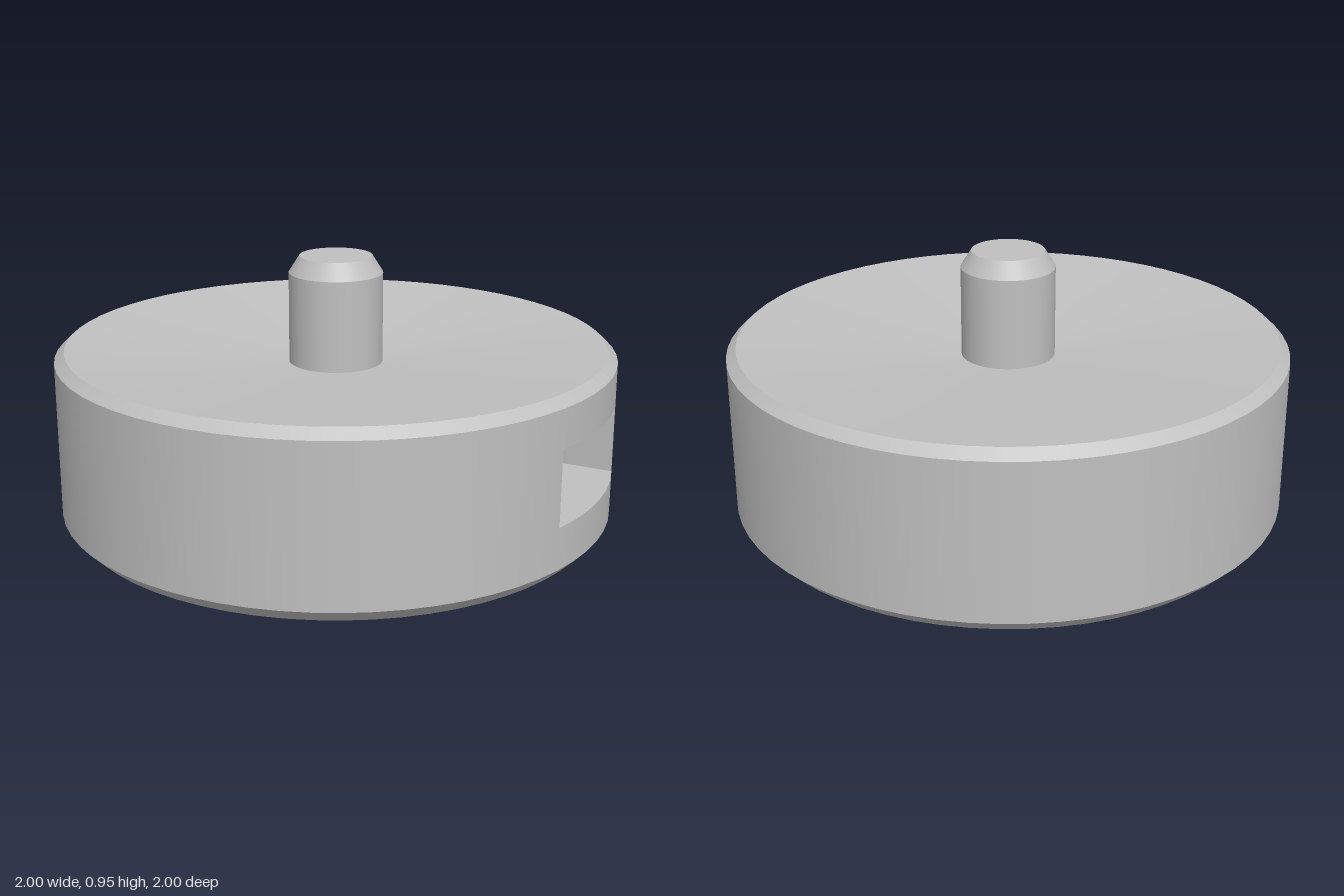
import * as THREE from 'three';
import { mergeGeometries } from 'three/addons/utils/BufferGeometryUtils.js';

const grey = new THREE.MeshStandardMaterial({ color: 0xc0c0c0 });
grey.name = 'plainGrey';

// The slot mouth spans a whole number of segments, so all bands share vertices
const SEGMENTS = 64, SLOT_SEGMENTS = 6;
const SLOT_ANGLE = Math.PI * SLOT_SEGMENTS / SEGMENTS;
const SLOT_HALF = Math.sin(SLOT_ANGLE);
const SLOT_LOW = 0.2, SLOT_HIGH = 0.468;
const HOLE_RADIUS = 0.17;

// Turned surface with a sharp edge at every profile point, starting beside the slot
function turned(profile, segments = SEGMENTS) {
  const bands = [];
  for (let i = 0; i < profile.length - 1; i++) {
    const pair = [profile[i], profile[i + 1]].map(([r, y]) => new THREE.Vector2(r, y));
    bands.push(new THREE.LatheGeometry(pair, segments,
      Math.PI / 2 + SLOT_ANGLE, Math.PI * 2 * segments / SEGMENTS));
  }
  return mergeGeometries(bands);
}

// Points on a circle, one segment apart, beginning at the slot's edge
function arcPoints(radius, segments) {
  return Array.from({ length: segments + 1 }, (_, i) => {
    const angle = -SLOT_ANGLE + i * Math.PI * 2 / SEGMENTS;
    return new THREE.Vector2(radius * Math.cos(angle), radius * Math.sin(angle));
  });
}

// Plan of the slot: parallel sides, hexagon point at the inner end, round rim
function slotPlan(corners, withHole) {
  const inner = corners.slice(1, -1).map(([x, z]) => new THREE.Vector2(x, z));
  const shape = new THREE.Shape([...arcPoints(1, SLOT_SEGMENTS), ...inner]);
  if (withHole) shape.holes.push(new THREE.Path(arcPoints(HOLE_RADIUS, SEGMENTS - 1)));
  return new THREE.ShapeGeometry(shape);
}

export function createModel() {
  const group = new THREE.Group();
  const add = (name, geometry) => {
    const mesh = new THREE.Mesh(geometry, grey);
    mesh.name = name;
    group.add(mesh);
  };

  // Disc: bored base, wall interrupted by the slot, bevelled rim and dished top
  add('base', turned([[HOLE_RADIUS, SLOT_LOW], [HOLE_RADIUS, 0], [0.95, 0], [1, 0.05], [1, SLOT_LOW]]));
  add('slottedWall', turned([[1, SLOT_LOW], [1, SLOT_HIGH]], SEGMENTS - SLOT_SEGMENTS));
  add('dishedTop', turned([[1, SLOT_HIGH], [1, 0.607], [0.965, 0.64], [0.168, 0.565]]));

  // Bevelled centre pin
  add('pin', turned([[0.168, 0.565], [0.168, 0.89], [0.13, 0.95], [0, 0.95]]));

  // Nut slot
  const rimX = Math.cos(SLOT_ANGLE);
  const point = 2 * SLOT_HALF / Math.sqrt(3);
  const corners = [[rimX, SLOT_HALF], [-point / 2, SLOT_HALF], [-point, 0],
    [-point / 2, -SLOT_HALF], [rimX, -SLOT_HALF]];
  add('slotFloor', slotPlan(corners, true).rotateX(-Math.PI / 2).translate(0, SLOT_LOW, 0));
  add('slotCeiling', slotPlan(corners, false).rotateX(Math.PI / 2).translate(0, SLOT_HIGH, 0));

  const walls = [];
  for (let i = 0; i < corners.length - 1; i++) {
    const [x0, z0] = corners[i], [x1, z1] = corners[i + 1];
    const dx = x1 - x0, dz = z1 - z0;
    walls.push(new THREE.PlaneGeometry(Math.hypot(dx, dz), SLOT_HIGH - SLOT_LOW)
      .rotateY(Math.atan2(-dz, dx))
      .translate((x0 + x1) / 2, (SLOT_LOW + SLOT_HIGH) / 2, (z0 + z1) / 2));
  }
  add('slotWalls', mergeGeometries(walls));

  return group;
}
